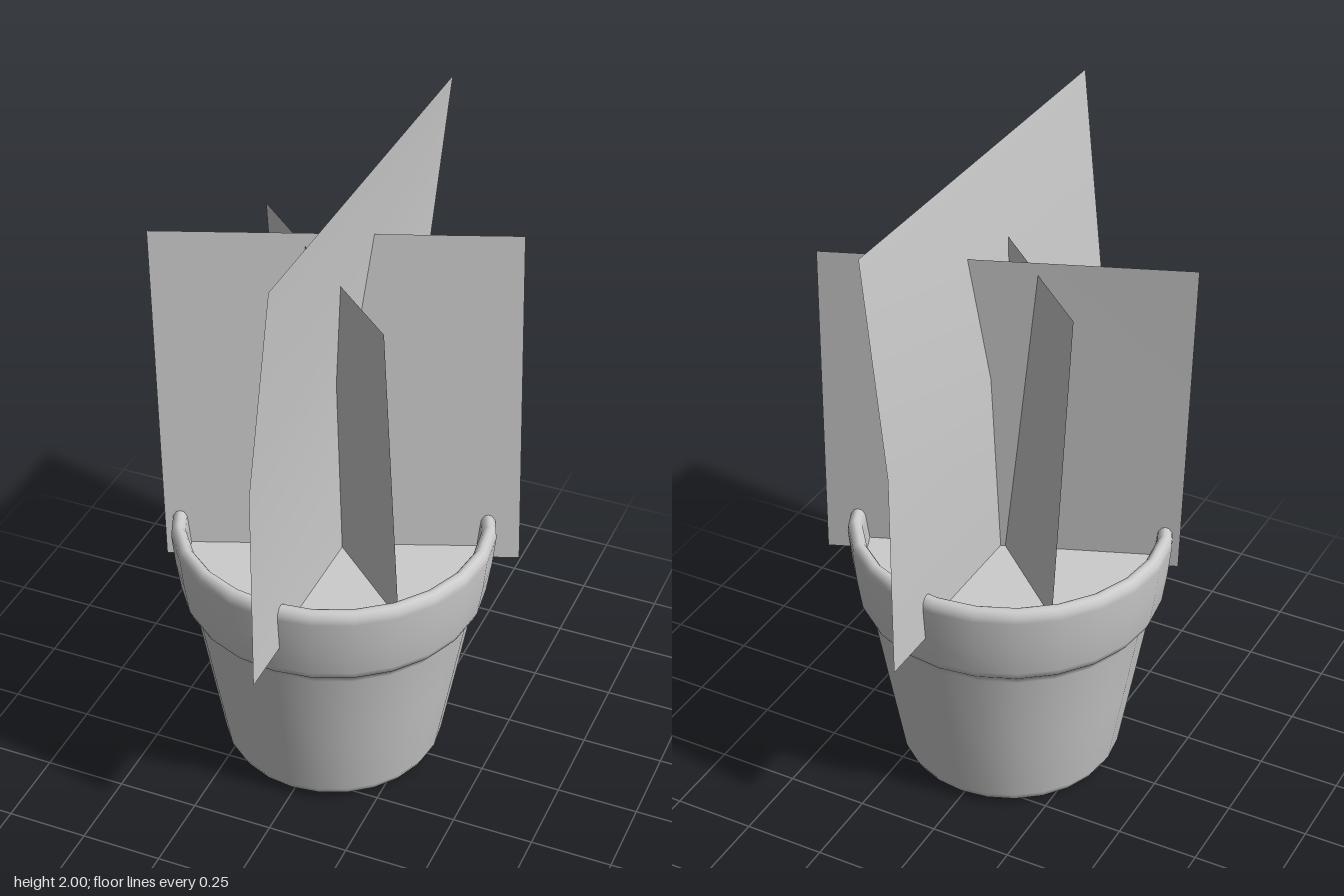
import * as THREE from 'three';

const clay = new THREE.MeshStandardMaterial({ color: 0xcccccc });
clay.name = 'plain grey';
const leaf = clay.clone();
leaf.name = 'plain grey sheet';
leaf.side = THREE.DoubleSide;

// Sheet lofted through horizontal rows, each [left corner, right corner], top to bottom
function sheet(name, rows) {
  const positions = [];
  const uvs = [];
  const index = [];
  rows.forEach(([a, b], i) => {
    positions.push(...a, ...b);
    uvs.push(0, 1 - i / (rows.length - 1), 1, 1 - i / (rows.length - 1));
    if (i > 0) {
      const k = 2 * (i - 1);
      index.push(k, k + 2, k + 1, k + 1, k + 2, k + 3);
    }
  });
  const geometry = new THREE.BufferGeometry();
  geometry.setAttribute('position', new THREE.Float32BufferAttribute(positions, 3));
  geometry.setAttribute('uv', new THREE.Float32BufferAttribute(uvs, 2));
  geometry.setIndex(index);
  geometry.computeVertexNormals();
  const mesh = new THREE.Mesh(geometry, leaf);
  mesh.name = name;
  return mesh;
}

export function createModel() {
  const model = new THREE.Group();
  model.name = 'pottedPlant';

  // Pot: tapered body, thick collar, rounded lip and inner wall
  const profile = [
    [0, 0], [0.2, 0], [0.3, 0.008], [0.325, 0.018], [0.34, 0.045],
    [0.385, 0.3], [0.427, 0.545], [0.434, 0.563], [0.452, 0.58], [0.463, 0.605],
    [0.477, 0.7], [0.487, 0.8], [0.485, 0.82], [0.475, 0.834], [0.464, 0.838],
    [0.452, 0.834], [0.443, 0.82], [0.44, 0.8], [0.43, 0.71],
  ].map(([r, y]) => new THREE.Vector2(r, y));
  const pot = new THREE.Mesh(new THREE.LatheGeometry(profile, 24), clay);
  pot.name = 'pot';
  model.add(pot);

  // Soil disc inside the collar
  const soil = new THREE.Mesh(new THREE.CircleGeometry(0.436, 24), clay);
  soil.name = 'soil';
  soil.rotation.x = -Math.PI / 2;
  soil.position.y = 0.73;
  model.add(soil);

  // Crossed foliage sheets; the tall one bends halfway up
  model.add(
    sheet('tallFoliage', [
      [[0.097, 2, 0.653], [0.097, 2, -0.653]],
      [[0.03, 1.345, 0.653], [0.03, 1.345, -0.653]],
      [[0.03, 0.69, 0.653], [0.03, 0.69, -0.653]],
    ]),
    sheet('wideFoliage', [
      [[-0.525, 1.75, 0.11], [0.465, 1.75, -0.275]],
      [[-0.465, 0.69, 0.19], [0.52, 0.69, -0.2]],
    ]),
    sheet('smallFoliage', [
      [[-0.31, 1.71, -0.23], [0.27, 1.71, 0.297]],
      [[-0.27, 0.69, -0.265], [0.315, 0.69, 0.26]],
    ]),
  );

  return model;
}
